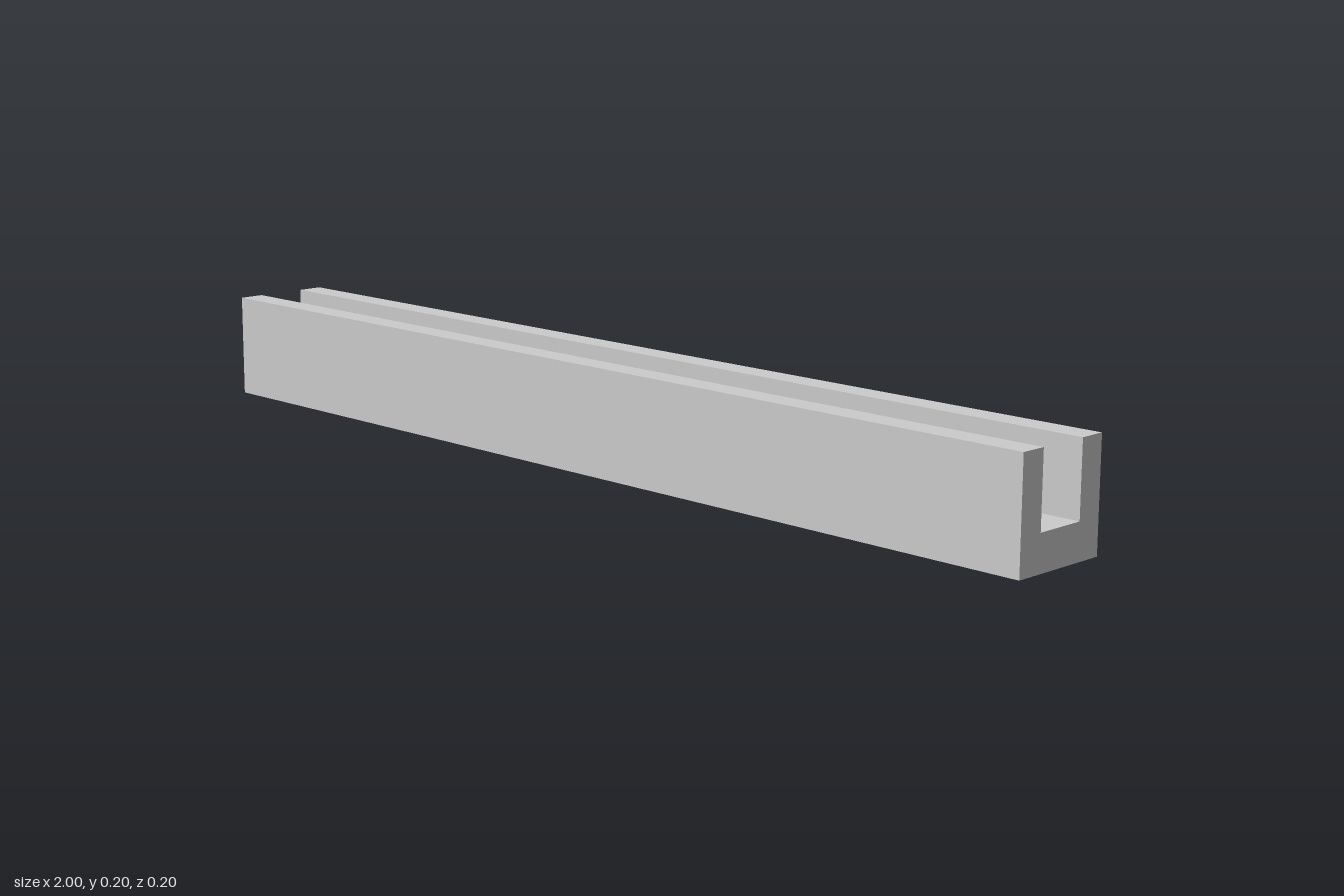
import * as THREE from 'three';

const LENGTH = 2;
const HALF_WIDTH = 0.1;
const HEIGHT = 0.2;
const HALF_GROOVE = 0.05;
const GROOVE_FLOOR = 0.066;

export function createModel() {
  const group = new THREE.Group();
  group.name = 'channelRail';

  // U-shaped cross-section, swept along the length of the rail
  const profile = new THREE.Shape([
    [-HALF_WIDTH, 0],
    [HALF_WIDTH, 0],
    [HALF_WIDTH, HEIGHT],
    [HALF_GROOVE, HEIGHT],
    [HALF_GROOVE, GROOVE_FLOOR],
    [-HALF_GROOVE, GROOVE_FLOOR],
    [-HALF_GROOVE, HEIGHT],
    [-HALF_WIDTH, HEIGHT],
  ].map(([x, y]) => new THREE.Vector2(x, y)));

  const geometry = new THREE.ExtrudeGeometry(profile, { depth: LENGTH, bevelEnabled: false });
  // Centre the sweep, then turn it to run along x
  geometry.translate(0, 0, -LENGTH / 2);
  geometry.rotateY(Math.PI / 2);

  const rail = new THREE.Mesh(
    geometry,
    new THREE.MeshStandardMaterial({ color: 0xcccccc, flatShading: true }),
  );
  rail.name = 'groovedRail';
  group.add(rail);
  return group;
}
